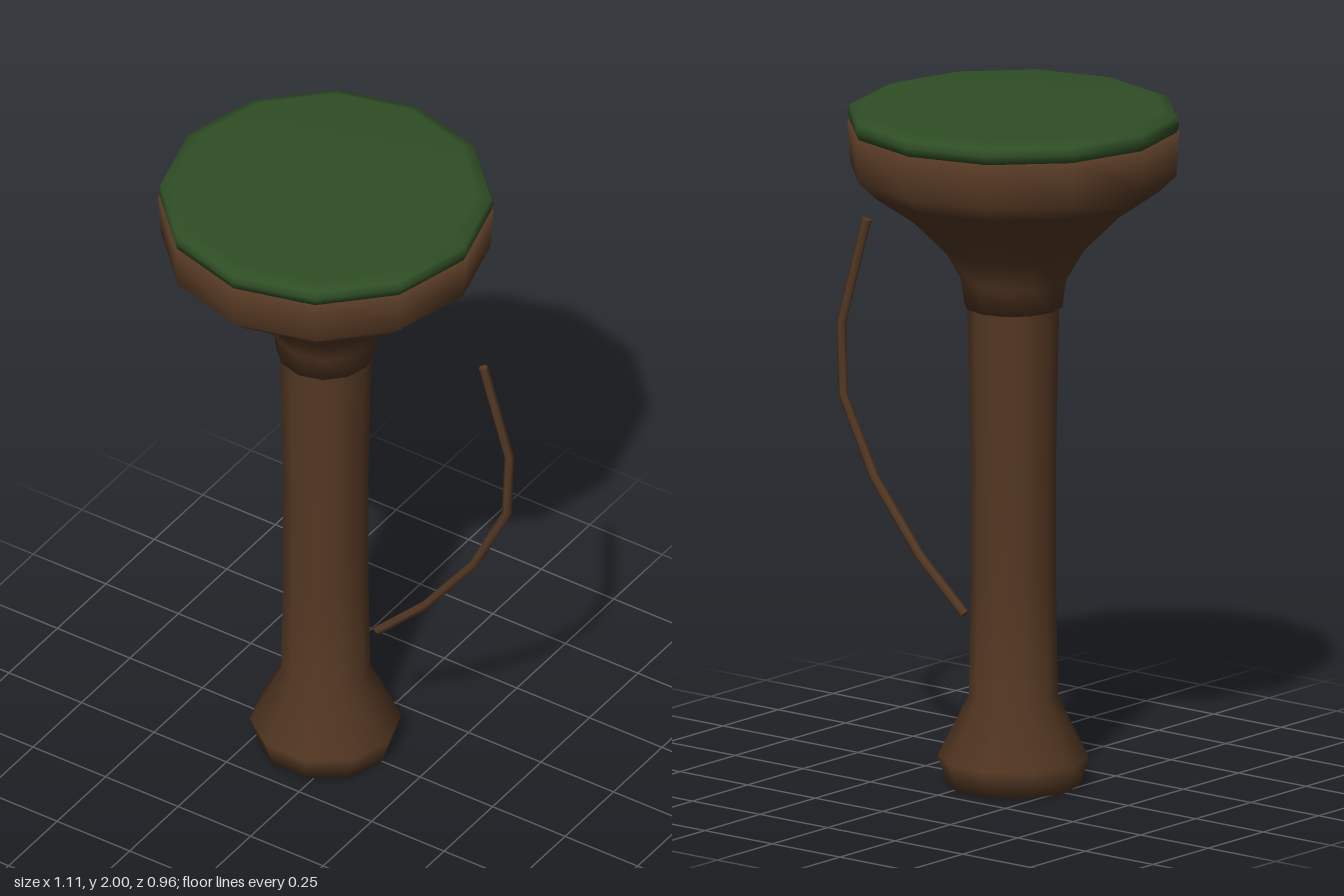
import * as THREE from 'three';

const AXIS_X = -0.075; // the trunk stands off centre, balancing the vine

export function createModel() {
  const bark = new THREE.MeshStandardMaterial({ color: 0x543823 });
  bark.name = 'bark brown';
  const leaf = new THREE.MeshStandardMaterial({ color: 0x2f4e25 });
  leaf.name = 'leaf green';

  const group = new THREE.Group();
  group.name = 'tree';

  function add(name, geometry, material, parent = group) {
    const mesh = new THREE.Mesh(geometry, material);
    mesh.name = name;
    parent.add(mesh);
    return mesh;
  }

  // Turned part with a corner on the x axis; profile is [radius, height] from bottom to top
  function turned(name, profile, sides, material) {
    const points = profile.map(([r, y]) => new THREE.Vector2(r, y));
    const mesh = add(name, new THREE.LatheGeometry(points, sides, Math.PI / 2), material);
    mesh.position.x = AXIS_X;
  }

  // Trunk with flared foot
  turned('trunk', [
    [0, 0], [0.193, 0], [0.217, 0.08], [0.128, 0.26], [0.122, 0.6],
    [0.122, 0.95], [0.132, 1.42],
  ], 10, bark);

  // Flaring crown on top of the trunk
  turned('crown', [
    [0, 1.41], [0.142, 1.41], [0.153, 1.49], [0.205, 1.58], [0.305, 1.68],
    [0.42, 1.76], [0.473, 1.81], [0.482, 1.94], [0, 1.94],
  ], 12, bark);

  // Flat green canopy
  turned('canopy', [
    [0, 1.94], [0.475, 1.94], [0.482, 1.965], [0.475, 1.985], [0.437, 2], [0, 2],
  ], 12, leaf);

  // Hanging vine: a thin tube bent at each point
  const vine = new THREE.Group();
  vine.name = 'vine';
  group.add(vine);
  const path = [
    [0.105, 0.47, 0], [0.26, 0.62, -0.013], [0.42, 0.83, -0.024],
    [0.53, 1.06, -0.03], [0.54, 1.27, -0.026], [0.468, 1.58, 0],
  ].map((p) => new THREE.Vector3(...p));
  const curve = new THREE.CatmullRomCurve3(path);
  curve.getPointAt = curve.getPoint; // one ring at every bend
  curve.getTangentAt = curve.getTangent;
  const radius = 0.014;
  add('vineStem', new THREE.TubeGeometry(curve, path.length - 1, radius, 6), bark, vine);

  // Vine end caps
  for (const [t, direction] of [[0, -1], [1, 1]]) {
    const cap = add('vineEnd', new THREE.CircleGeometry(radius, 6), bark, vine);
    cap.position.copy(curve.getPoint(t));
    cap.lookAt(cap.position.clone().addScaledVector(curve.getTangent(t), direction));
  }

  return group;
}
